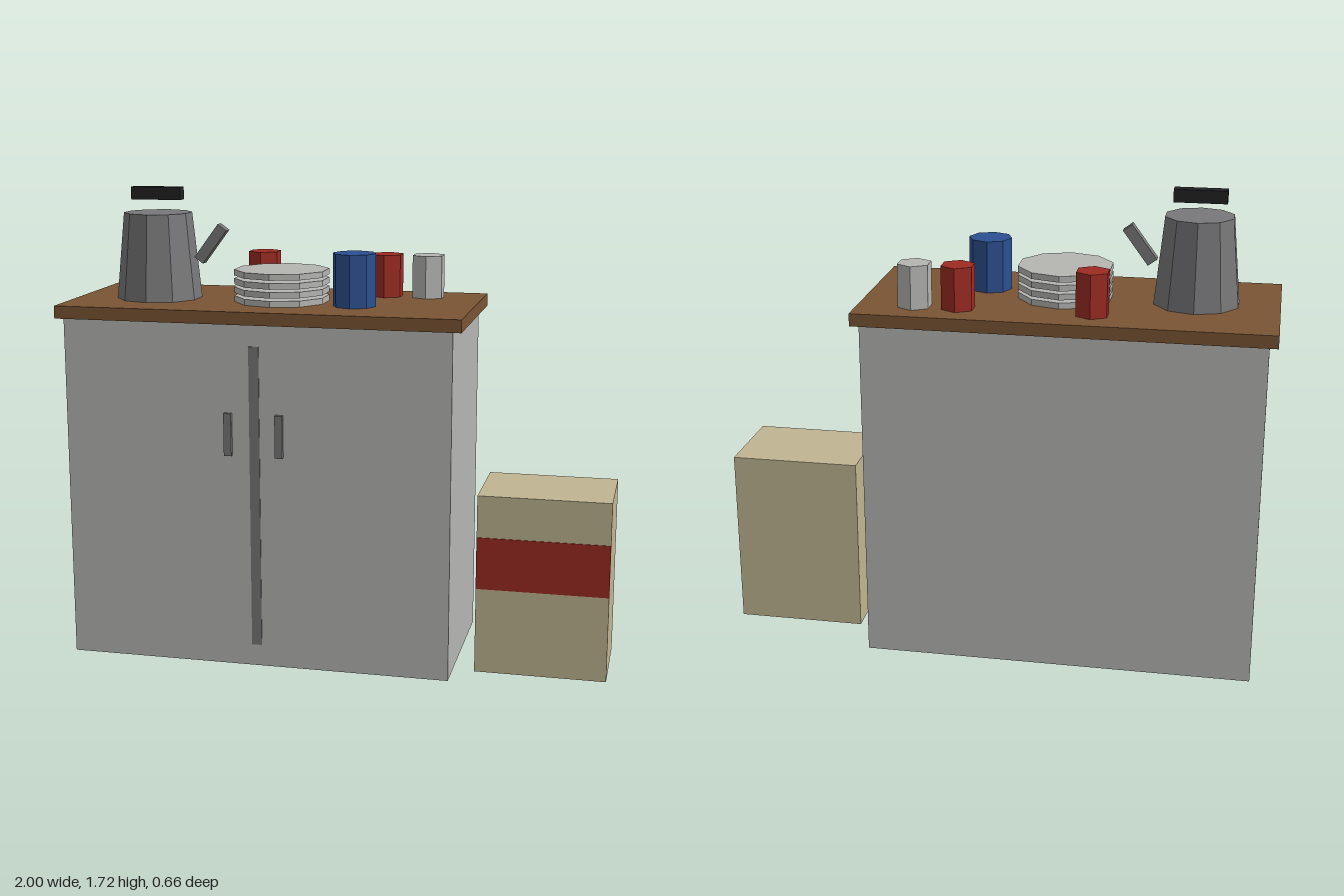
import * as THREE from 'three';

const mat = (name, color) => {
  const m = new THREE.MeshStandardMaterial({ color });
  m.name = name;
  return m;
};

export function createModel() {
  const group = new THREE.Group();
  const paint = mat('palePaint', 0xb5b5b2);
  const wood = mat('wood', 0x7a5434);
  const metal = mat('greyMetal', 0x78787a);
  const black = mat('black', 0x222222);
  const red = mat('red', 0x9c2b22);
  const blue = mat('blue', 0x2b5090);
  const card = mat('tanCard', 0xc0b592);

  const add = (name, geometry, material, x, y, z) => {
    const mesh = new THREE.Mesh(geometry, material);
    mesh.name = name;
    mesh.position.set(x, y, z);
    group.add(mesh);
    return mesh;
  };
  // Box given by its extents on each axis
  const box = (name, m, [x0, x1], [y0, y1], [z0, z1]) =>
    add(name, new THREE.BoxGeometry(x1 - x0, y1 - y0, z1 - z0), m,
      (x0 + x1) / 2, (y0 + y1) / 2, (z0 + z1) / 2);
  // Faceted upright prism standing at height y
  const prism = (name, m, rTop, rBottom, h, sides, x, y, z) => {
    const g = new THREE.CylinderGeometry(rTop, rBottom, h, sides).toNonIndexed();
    g.computeVertexNormals();
    return add(name, g, m, x, y + h / 2, z);
  };

  // Cabinet and worktop
  const top = 1.31;
  box('cabinetBody', paint, [-0.97, 0.446], [0, 1.264], [-0.317, 0.317]);
  box('worktop', wood, [-1, 0.477], [1.264, top], [-0.33, 0.33]);
  box('doorGap', metal, [-0.28, -0.243], [0.08, 1.187], [0.314, 0.32]);
  for (const x of [-0.358, -0.17])
    box('doorHandle', metal, [x - 0.014, x + 0.014], [0.79, 0.945], [0.31, 0.332]);

  // Kettle with spout and floating grip
  prism('kettleBody', metal, 0.125, 0.157, 0.315, 10, -0.703, top, 0.028);
  box('kettleGrip', black, [-0.797, -0.609], [1.672, 1.718], [0.007, 0.053]);
  const spout = add('kettleSpout', new THREE.BoxGeometry(0.04, 0.153, 0.04), metal, -0.498, 1.514, 0.028);
  spout.rotation.z = -0.64;

  // Stack of plates
  for (let i = 0; i < 4; i++)
    prism('plate', paint, 0.174, 0.174, 0.022, 10, -0.233, top + i * 0.032, 0.028);

  // Cups and mug
  for (const [m, x] of [[red, -0.357], [red, 0.117], [paint, 0.273]])
    prism('cup', m, 0.063, 0.063, 0.157, 6, x, top, -0.191);
  prism('mug', blue, 0.079, 0.079, 0.19, 8, 0.053, top, 0.093);

  // Carton with a front band
  box('carton', card, [0.525, 1], [0, 0.662], [-0.14, 0.204]);
  box('cartonBand', red, [0.525, 1], [0.316, 0.508], [0.2, 0.207]);

  return group;
}
